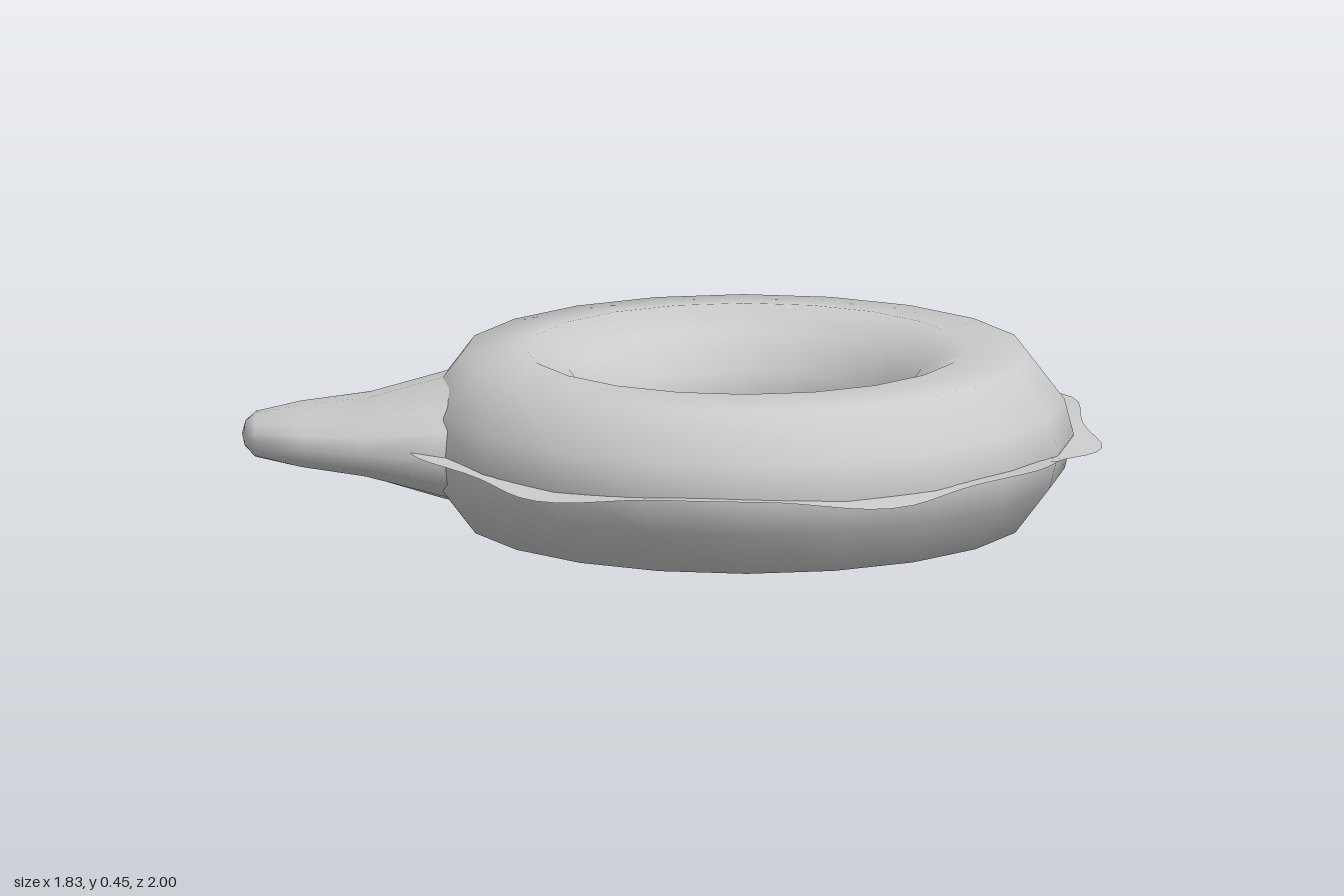
import * as THREE from 'three';
import { mergeVertices } from 'three/addons/utils/BufferGeometryUtils.js';

const MID_Y = 0.223, RING_Z = 0.083;
const material = new THREE.MeshStandardMaterial({ color: 0xcccccc });
const sheetMaterial = new THREE.MeshStandardMaterial({ color: 0xcccccc, side: THREE.DoubleSide });

// Surface through rows of equally many points; columns wrap around
function loft(rows, flip = false) {
  const n = rows[0].length, index = [];
  for (let k = 0; k < rows.length - 1; k++) {
    for (let i = 0; i < n; i++) {
      const a = k * n + i, b = k * n + (i + 1) % n, c = a + n, d = b + n;
      if (flip) index.push(a, b, c, b, d, c);
      else index.push(a, c, b, b, c, d);
    }
  }
  const geometry = new THREE.BufferGeometry();
  geometry.setAttribute('position', new THREE.Float32BufferAttribute(rows.flat(2), 3));
  geometry.setIndex(index);
  geometry.computeVertexNormals();
  return geometry;
}

// Puffy ring: closed half-flattened profile swept around 20 sides
function ringGeometry() {
  const upper = [[0.84, 0], [0.817, 0.09], [0.725, 0.211], [0.56, 0.223], [0.45, 0.17], [0.385, 0.08], [0.365, 0]];
  const lower = upper.slice(0, -1).reverse().map(([r, y]) => [r, -y]);
  const profile = [...upper, ...lower].map(([r, y]) => new THREE.Vector2(r, y));
  let geometry = new THREE.LatheGeometry(profile, 20);
  geometry.deleteAttribute('uv');
  geometry.deleteAttribute('normal');
  geometry = mergeVertices(geometry, 1e-4);
  geometry.computeVertexNormals();
  return geometry;
}

// Ear: oval sections from inside the ring to the rounded tip
// each row: outer edge x, z, inner edge x, z, half thickness
const earSections = [
  [0.55, -0.20, 0.10, -0.50, 0.212],
  [0.72, -0.36, 0.18, -0.72, 0.15],
  [0.785, -0.55, 0.33, -0.85, 0.095],
  [0.825, -0.72, 0.49, -0.96, 0.075],
  [0.82, -0.87, 0.63, -1.0, 0.054],
  [0.775, -0.935, 0.69, -0.99, 0.032],
  [0.74, -0.968, 0.74, -0.968, 0],
];
function earGeometry(side) {
  const n = 16;
  const rows = earSections.map(([ox, oz, ix, iz, h]) => Array.from({ length: n }, (_, i) => {
    const a = i / n * Math.PI * 2, c = Math.cos(a), s = Math.sin(a);
    const t = (1 + c) / 2;
    return [side * (ix + (ox - ix) * t), MID_Y + h * Math.sign(s) * Math.abs(s) ** 0.85, iz + (oz - iz) * t];
  }));
  return loft(rows, side < 0);
}

// Wavy seam flange between two radius functions
function flangeGeometry(inner, outer, waveIn, waveOut) {
  const n = 96;
  const row = (radius, wave) => Array.from({ length: n }, (_, i) => {
    const a = i / n * Math.PI * 2, r = radius(a);
    return [r * Math.cos(a), -wave * Math.cos(6 * a), r * Math.sin(a)];
  });
  return loft([row(inner, waveIn), row(outer, waveOut)]);
}

export function createModel() {
  const group = new THREE.Group();
  const add = (name, geometry, mat, x = 0, y = 0, z = 0) => {
    const mesh = new THREE.Mesh(geometry, mat);
    mesh.name = name;
    mesh.position.set(x, y, z);
    group.add(mesh);
  };

  add('ring', ringGeometry(), material, 0, MID_Y, RING_Z);
  add('leftEar', earGeometry(1), material);
  add('rightEar', earGeometry(-1), material);
  add('outerSeam', flangeGeometry(() => 0.81, a => 0.896 + 0.021 * Math.cos(12 * a), 0.004, 0.017),
    sheetMaterial, 0, MID_Y, RING_Z);
  add('innerSeam', flangeGeometry(a => 0.348 - 0.007 * Math.cos(12 * a), () => 0.38, 0.006, 0.002),
    sheetMaterial, 0, MID_Y, RING_Z);
  return group;
}
